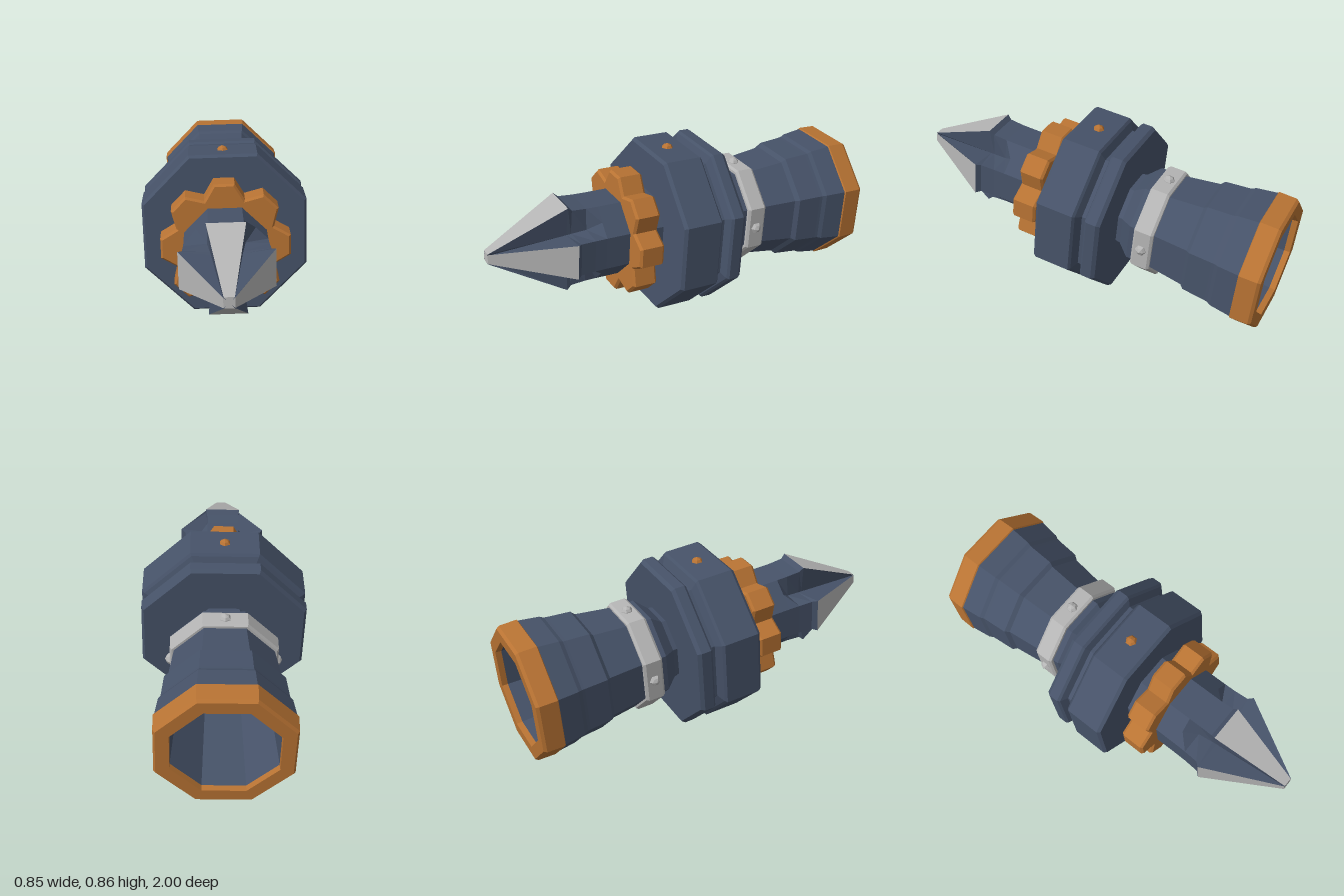
import * as THREE from 'three';

const mat = (name, color) => Object.assign(new THREE.MeshStandardMaterial({ color, flatShading: true }), { name });

// Eight-sided turned part along z; profile is [apothem, z], flat side up
function turned(profile) {
  const k = 1 / Math.cos(Math.PI / 8);
  const pts = profile.map(([r, z]) => new THREE.Vector2(r * k, z));
  return new THREE.LatheGeometry(pts, 8, Math.PI / 8).rotateX(Math.PI / 2);
}

// Cross-shaped section: arm half width w, arm reach r, valley position g
function crossSection([z, w, r, g]) {
  const pts = [];
  for (let i = 0; i < 4; i++) {
    const a = i * Math.PI / 2, c = Math.cos(a), s = Math.sin(a);
    for (const [x, y] of [[r, -w], [r, w], [g, g]]) pts.push([x * c - y * s, x * s + y * c, z]);
  }
  return pts;
}

// Skin between sections, keeping only the sides that pass the filter
function loft(sections, keep) {
  const pos = [];
  for (let s = 0; s < sections.length - 1; s++) {
    const p = sections[s], q = sections[s + 1];
    for (let i = 0; i < 12; i++) {
      const j = (i + 1) % 12;
      if (keep(s, i)) pos.push(...p[i], ...p[j], ...q[j], ...p[i], ...q[j], ...q[i]);
    }
  }
  return pos;
}

function fromPositions(pos) {
  const g = new THREE.BufferGeometry();
  g.setAttribute('position', new THREE.Float32BufferAttribute(pos, 3));
  g.computeVertexNormals();
  return g;
}

export function createModel() {
  const blue = mat('slateBlue', 0x465268);
  const copper = mat('copper', 0xb87333);
  const silver = mat('silver', 0xb4b4b4);

  const tool = new THREE.Group();
  tool.name = 'tiltedTool';
  const add = (name, geometry, material) => {
    const m = new THREE.Mesh(geometry, material);
    m.name = name;
    tool.add(m);
    return m;
  };

  // Wide collar with a groove
  add('collar', turned([
    [0, -0.18], [0.397, -0.18], [0.41, -0.162], [0.41, -0.112], [0.4, -0.1], [0.36, -0.085], [0.36, -0.065],
    [0.4, -0.046], [0.412, -0.035], [0.412, 0.148], [0.4, 0.164], [0, 0.164],
  ]), blue);

  // Hollow stepped socket
  add('socket', turned([
    [0, -0.42], [0.21, -0.42], [0.25, -0.955], [0.3, -0.955], [0.318, -0.86], [0.305, -0.755], [0.295, -0.735],
    [0.293, -0.72], [0.283, -0.6], [0.265, -0.58], [0.243, -0.4], [0.24, -0.27], [0.185, -0.205], [0.18, -0.17],
  ]), blue);
  add('socketRim', turned([
    [0.248, -0.94], [0.25, -0.97], [0.312, -0.97], [0.322, -0.955], [0.324, -0.865], [0.31, -0.855],
  ]), copper);
  add('socketBand', turned([
    [0.235, -0.402], [0.254, -0.402], [0.263, -0.39], [0.263, -0.312], [0.254, -0.3], [0.235, -0.3],
  ]), silver);

  // Pointed hexagonal studs
  const stud = (name, angle, reach, z, material) => {
    const g = new THREE.LatheGeometry([[0.031, -0.03], [0.029, 0], [0.02, 0.012], [0, 0.022]]
      .map(([x, y]) => new THREE.Vector2(x, y)), 6);
    const m = add(name, g, material);
    m.position.set(-Math.sin(angle) * reach, Math.cos(angle) * reach, z);
    m.rotation.z = angle;
  };
  for (let i = 0; i < 4; i++) stud('bandStud', i * Math.PI / 2, 0.266, -0.35, silver);
  stud('collarStud', 0, 0.412, 0.053, copper);

  // Eight-lobed ring
  const lobes = new THREE.Shape();
  const outline = [];
  for (let i = 0; i < 8; i++) {
    const a = i * Math.PI / 4;
    for (const [da, r] of [[-0.157, 0.321], [0.157, 0.321], [Math.PI / 8, 0.256]]) {
      outline.push(new THREE.Vector2(Math.cos(a + da) * r, Math.sin(a + da) * r));
    }
  }
  lobes.setFromPoints(outline);
  add('lobedRing', new THREE.ExtrudeGeometry(lobes, {
    depth: 0.106, bevelEnabled: true, bevelSegments: 1, bevelThickness: 0.012, bevelSize: 0.01, bevelOffset: -0.01,
  }).translate(0, 0, 0.229), copper);

  // Shaft running into a four-armed fluted point
  const sections = [
    [0.12, 0.083, 0.2, 0.1415], [0.47, 0.083, 0.2, 0.1415], [0.53, 0.083, 0.201, 0.09],
    [0.605, 0.085, 0.206, 0.077], [0.628, 0.092, 0.226, 0.073], [1.007, 0.024, 0.026, 0.012],
  ].map(crossSection);
  const isFacing = (s, i) => s === 4 && i % 3 === 0;
  add('shaftAndFlutes', fromPositions(loft(sections, (s, i) => !isFacing(s, i))), blue);
  const facings = loft(sections, isFacing);
  const tip = sections[5];
  for (let i = 0; i < 12; i++) facings.push(0, 0, 1.007, ...tip[i], ...tip[(i + 1) % 12]);
  add('pointFacings', fromPositions(facings), silver);

  // Lean the whole tool along its axis
  const axis = new THREE.Vector3(-0.086, 0.079, 1).normalize();
  const side = new THREE.Vector3(1, 0.02, 0);
  side.addScaledVector(axis, -side.dot(axis)).normalize();
  const up = new THREE.Vector3().crossVectors(axis, side);
  tool.quaternion.setFromRotationMatrix(new THREE.Matrix4().makeBasis(side, up, axis));
  tool.position.set(-0.005, 0.426, 0);

  const model = new THREE.Group();
  model.name = 'model';
  model.add(tool);
  return model;
}
